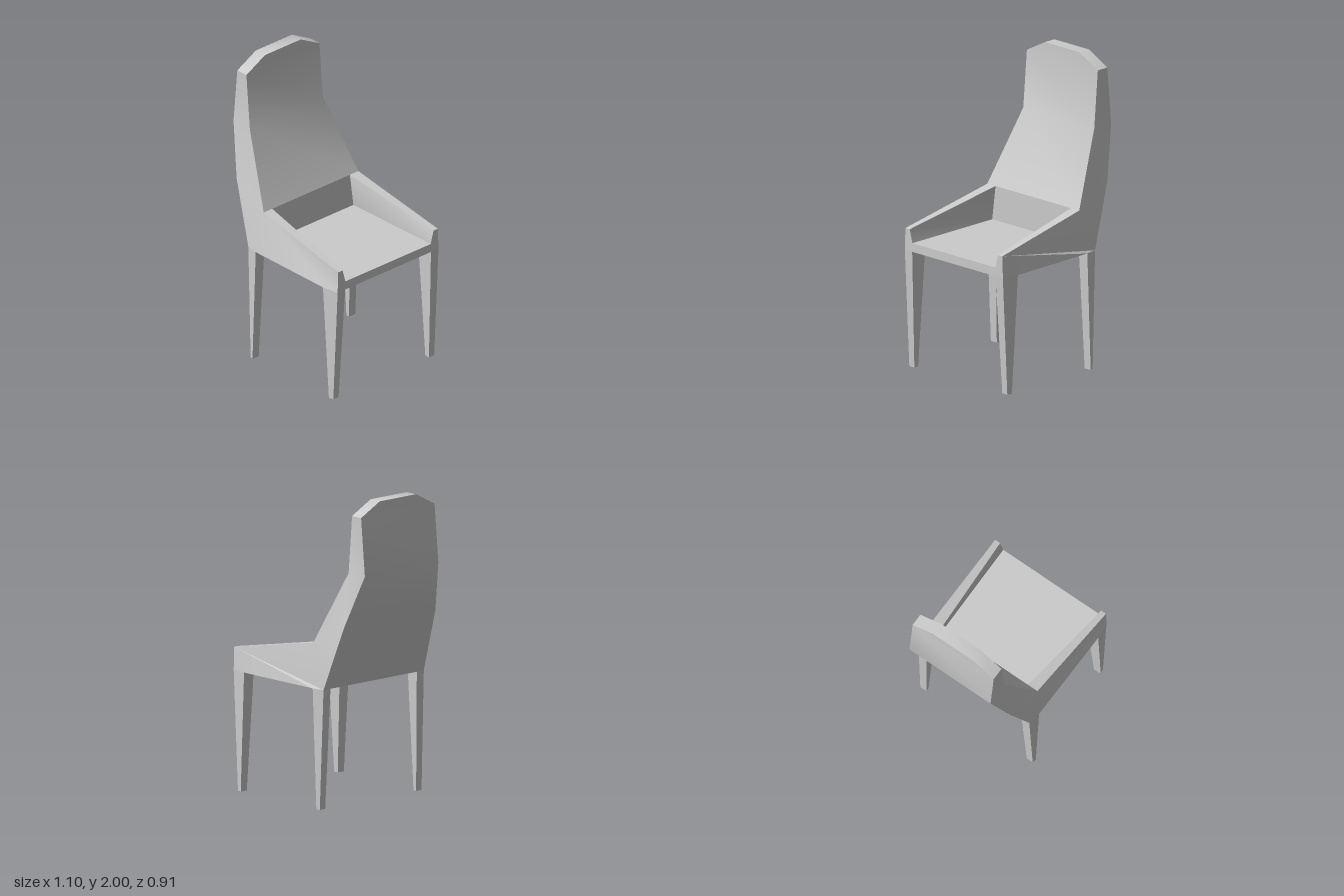
import * as THREE from 'three';
import { toCreasedNormals } from 'three/addons/utils/BufferGeometryUtils.js';

const material = new THREE.MeshStandardMaterial({ color: 0xcccccc });
const mirror = ([x, y, z]) => [x, y, -z];
const mirrorFace = (face) => face.map(mirror).reverse();

// Turns convex polygons (counter-clockwise from outside) into one mesh; each is fanned from its first corner
function meshFromFaces(name, faces) {
  const positions = [];
  for (const f of faces)
    for (let i = 1; i < f.length - 1; i++) positions.push(...f[0], ...f[i], ...f[i + 1]);
  const geometry = new THREE.BufferGeometry();
  geometry.setAttribute('position', new THREE.Float32BufferAttribute(positions, 3));
  const mesh = new THREE.Mesh(toCreasedNormals(geometry, THREE.MathUtils.degToRad(32)), material);
  mesh.name = name;
  return mesh;
}

// Outer side profile, from the lower back corner round to the rear of the backrest
const backLow = [-0.29, 0.78, 0.43], backLegFront = [-0.205, 0.78, 0.445];
const frontLegBack = [0.43, 0.78, 0.453], frontLow = [0.547, 0.78, 0.435];
const armFront = [0.547, 0.925, 0.43], armBack = [-0.17, 1.065, 0.408];
const bendFront = [-0.4, 1.54, 0.315], shoulderFront = [-0.432, 1.915, 0.315];
const shoulderRear = [-0.517, 1.915, 0.315], bendRear = [-0.552, 1.54, 0.315];
const waistRear = [-0.44, 1.2, 0.392];
// Chamfered top of the backrest
const topFront = [-0.432, 2, 0.155], topRear = [-0.517, 2, 0.155];
// Inner edges of the arm and seat
const armFrontIn = [0.547, 0.925, 0.392], armBackIn = [-0.17, 1.065, 0.335];
const seatFront = [0.547, 0.838, 0.368], seatBack = [-0.17, 0.838, 0.365];
const seatFrontLow = [0.547, 0.78, 0.37];

function seatShell() {
  // Panel spanning from one side to the other along profile edge p -> q
  const span = (p, q) => [q, p, mirror(p), mirror(q)];

  const half = [
    // outer side
    [armBack, backLow, backLegFront, frontLegBack, frontLow, armFront],
    [armBack, waistRear, backLow],
    [armBack, bendFront, waistRear],
    [bendFront, bendRear, waistRear],
    [bendFront, shoulderFront, shoulderRear, bendRear],
    // chamfer, arm top, arm front end
    [shoulderRear, shoulderFront, topFront, topRear],
    [armBack, armFront, armFrontIn, armBackIn],
    [armFront, frontLow, seatFrontLow, seatFront, armFrontIn],
  ];

  const faces = [
    ...half, ...half.map(mirrorFace),
    // inner arm walls
    [seatBack, armBackIn, armFrontIn, seatFront],
    ...[[armBackIn, armFrontIn, seatFront], [armBackIn, seatFront, seatBack]].map(mirrorFace),
  ];

  const runs = [
    [armBack, bendFront, shoulderFront, topFront, topRear, shoulderRear, bendRear, waistRear, backLow], // backrest
    [seatFrontLow, seatFront, seatBack, armBackIn], // seat
    [backLow, backLegFront, frontLegBack, frontLow], // underside
  ];
  for (const run of runs)
    for (let i = 0; i < run.length - 1; i++) faces.push(span(run[i], run[i + 1]));
  return meshFromFaces('seatShell', faces);
}

// Tapered leg under the edge rear -> front, ending in a small foot
function leg(name, rear, front, footRear, footFront, flip) {
  const inner = (p, z) => [p[0], p[1], z];
  const top = [rear, front, inner(front, 0.37), inner(rear, 0.37)];
  const foot = [footRear, footFront, inner(footFront, 0.39), inner(footRear, 0.39)];
  const faces = [[...foot].reverse()];
  for (let i = 0; i < 4; i++) {
    const j = (i + 1) % 4;
    faces.push([foot[i], foot[j], top[j], top[i]]);
  }
  return meshFromFaces(name, flip ? faces.map(mirrorFace) : faces);
}

export function createModel() {
  const chair = new THREE.Group();
  chair.name = 'chair';
  chair.add(seatShell());
  for (const flip of [false, true]) {
    chair.add(
      leg('frontLeg', frontLegBack, frontLow, [0.473, 0, 0.442], [0.507, 0, 0.435], flip),
      leg('backLeg', backLow, backLegFront, [-0.262, 0, 0.436], [-0.237, 0, 0.443], flip)
    );
  }
  return chair;
}
